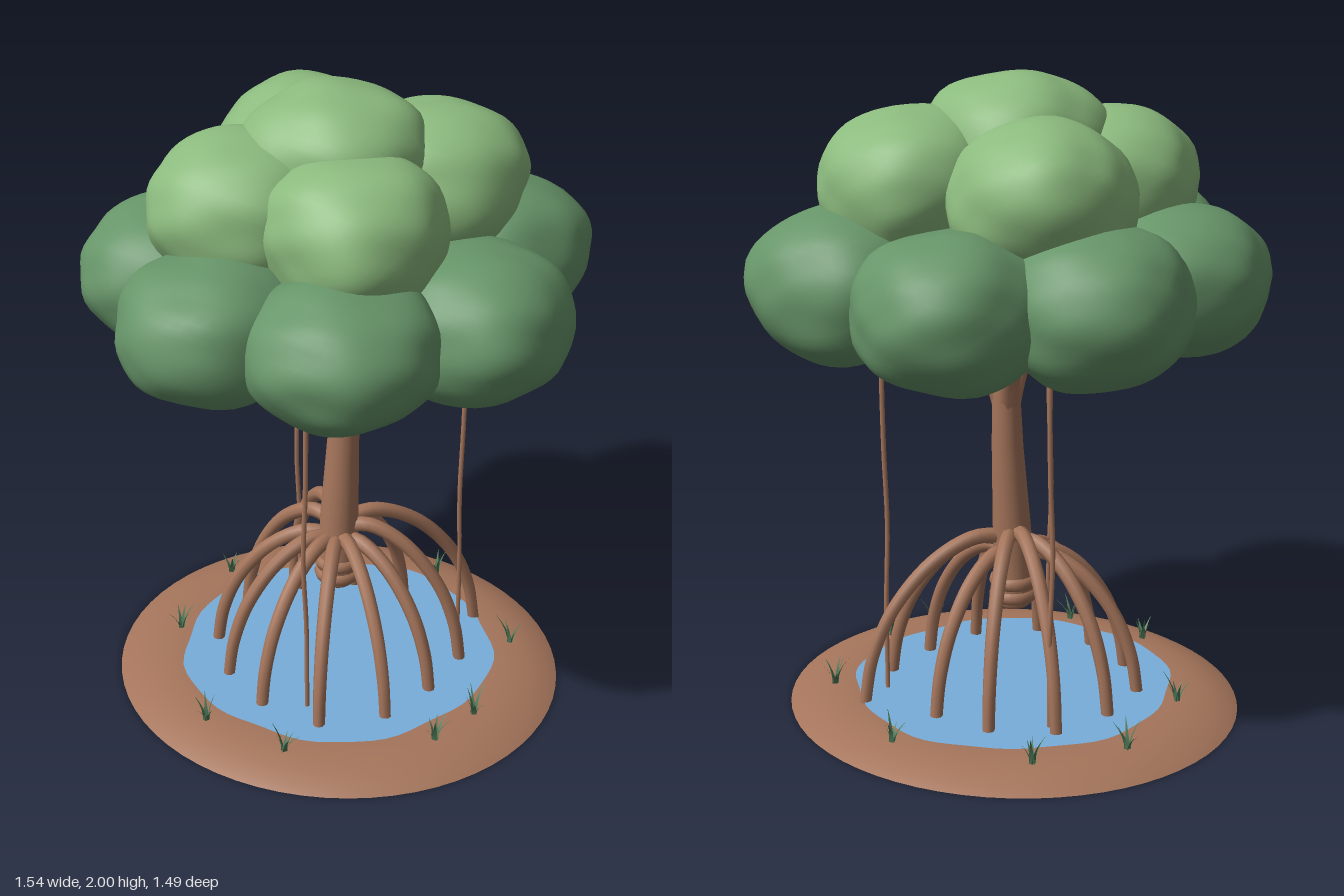
import * as THREE from 'three';
import { mergeVertices, mergeGeometries } from 'three/addons/utils/BufferGeometryUtils.js';

const paint = (name, color, side = THREE.FrontSide) => {
  const m = new THREE.MeshStandardMaterial({ color, side });
  m.name = name;
  return m;
};
const V = (x, y, z) => new THREE.Vector3(x, y, z);
const lathe = (points, sides) => new THREE.LatheGeometry(points.map(([r, y]) => new THREE.Vector2(r, y)), sides);

// Tapered tube along a smooth path
function limb(points, r0, r1, segments = 20, sides = 8) {
  const curve = new THREE.CatmullRomCurve3(points);
  const geo = new THREE.TubeGeometry(curve, segments, 1, sides);
  const pos = geo.attributes.position, p = V(0, 0, 0);
  for (let i = 0; i <= segments; i++) {
    const c = curve.getPointAt(i / segments);
    const r = r0 + (r1 - r0) * (i / segments);
    for (let j = 0; j <= sides; j++) {
      const k = i * (sides + 1) + j;
      p.fromBufferAttribute(pos, k).sub(c).multiplyScalar(r).add(c);
      pos.setXYZ(k, p.x, p.y, p.z);
    }
  }
  return geo;
}

// Lumpy leaf cloud: a sphere pushed in and out by a few waves
function leafBlob(rx, ry, rz, seed) {
  let geo = new THREE.IcosahedronGeometry(1, 9);
  geo.deleteAttribute('uv');
  geo.deleteAttribute('normal');
  geo = mergeVertices(geo);
  const pos = geo.attributes.position, p = V(0, 0, 0);
  for (let i = 0; i < pos.count; i++) {
    p.fromBufferAttribute(pos, i);
    const n = Math.sin(p.x * 3.1 + seed) * Math.sin(p.y * 2.7 + seed * 1.7) * Math.sin(p.z * 3.3 + seed * 2.3)
      + 0.35 * Math.sin(p.x * 5 + p.y * 4 + seed * 3) * Math.sin(p.z * 5 - p.y * 4 + seed)
      + 0.2 * Math.sin(p.x * 9 - p.z * 5 + seed) * Math.sin(p.y * 9 + p.z * 4 + seed * 2);
    const boxy = 1 / Math.pow(p.x ** 4 + p.y ** 4 + p.z ** 4, 0.04);
    p.multiplyScalar((0.975 + 0.05 * n) * boxy);
    pos.setXYZ(i, p.x * rx, p.y * ry, p.z * rz);
  }
  geo.computeVertexNormals();
  return geo;
}

export function createModel() {
  const bark = paint('bark brown', 0xa5755b, THREE.DoubleSide);
  const darkLeaf = paint('dark leaf green', 0x679569);
  const lightLeaf = paint('light leaf green', 0x8cbb7e);
  const blue = paint('water blue', 0x78aedb);
  const grassGreen = paint('grass green', 0x4f7a58, THREE.DoubleSide);

  const tree = new THREE.Group();
  tree.name = 'mangroveTree';
  const add = (name, geo, mat, x = 0, y = 0, z = 0) => {
    const mesh = new THREE.Mesh(geo, mat);
    mesh.name = name;
    mesh.position.set(x, y, z);
    tree.add(mesh);
    return mesh;
  };

  // Mud island with a flat underside
  const mudTop = [[0.692, 0], [0.665, 0.016], [0.62, 0.033], [0.57, 0.045], [0.5, 0.051], [0, 0.051]];
  add('mudIsland', lathe(mudTop, 64), bark).scale.z = 1.045;
  add('mudUnderside', new THREE.CircleGeometry(0.692, 64).rotateX(Math.PI / 2), bark).scale.z = 1.045;

  // Water pool with an uneven shore
  const shore = new THREE.Shape();
  for (let i = 0; i < 72; i++) {
    const a = (i / 72) * Math.PI * 2;
    const r = 0.5 + 0.008 * Math.sin(a * 5 + 1) + 0.005 * Math.sin(a * 11);
    shore[i ? 'lineTo' : 'moveTo'](Math.cos(a) * r, Math.sin(a) * r);
  }
  add('water', new THREE.ShapeGeometry(shore).rotateX(-Math.PI / 2), blue, 0, 0.055, 0);

  // Trunk, leaning slightly to +x as it rises
  const lean = (y) => 0.032 * THREE.MathUtils.smoothstep(y, 0.4, 1.0);
  const trunk = lathe([[0, 0.31], [0.045, 0.315], [0.066, 0.335], [0.066, 0.4], [0.06, 0.46], [0.061, 0.55],
    [0.055, 0.7], [0.049, 0.85], [0.044, 1.0], [0.042, 1.1], [0.03, 1.2], [0, 1.22]], 20);
  const tp = trunk.attributes.position;
  for (let i = 0; i < tp.count; i++) tp.setX(i, tp.getX(i) + lean(tp.getY(i)));
  trunk.computeVertexNormals();
  add('trunk', trunk, bark);
  [0.355, 0.4].forEach((y) =>
    add('trunkCollar', new THREE.TorusGeometry(0.05, 0.026, 10, 24).rotateX(Math.PI / 2), bark, 0, y, 0));

  // Branches forking into the crown
  for (let i = 0; i < 3; i++) {
    const a = (i / 3) * Math.PI * 2 + 1.13, c = Math.cos(a), s = Math.sin(a);
    add('branch', limb([V(0.03, 0.95, 0), V(0.03 + 0.04 * c, 1.07, 0.04 * s),
      V(0.03 + 0.1 * c, 1.19, 0.1 * s), V(0.03 + 0.22 * c, 1.38, 0.22 * s)], 0.036, 0.026, 12), bark);
  }

  // Arched stilt roots: top height, reach
  [[0.5, 0.37], [0.54, 0.4], [0.56, 0.49], [0.51, 0.36], [0.57, 0.38], [0.58, 0.41],
    [0.55, 0.39], [0.5, 0.4], [0.5, 0.38], [0.5, 0.39], [0.5, 0.42], [0.51, 0.4]].forEach(([top, reach], i) => {
    const a = (i / 12) * Math.PI * 2, s = Math.sin(a), c = Math.cos(a);
    const at = (f, y) => V(s * reach * f, y, c * reach * f);
    add('stiltRoot', limb([at(0.06, top - 0.01), at(0.26, top - 0.005), at(0.54, top * 0.87), at(0.8, top * 0.62),
      at(0.94, top * 0.35), at(1, 0.03)], 0.025, 0.019, 28), bark);
  });

  // Hanging vines
  [[-0.31, 0.12, -0.013], [0.185, -0.31, -0.012], [0.305, 0.26, -0.01]].forEach(([x, z, sway]) =>
    add('hangingVine', limb([V(x, 1.4, z), V(x + 0.004, 1.1, z), V(x, 0.85, z),
      V(x + sway, 0.6, z), V(x, 0.35, z), V(x, 0.04, z)], 0.008, 0.007, 24, 8), bark));

  // Lower ring of dark leaf clouds around a core: x, y, z, height radius
  [[0.045, 1.385, 0.47, 0.23], [0.445, 1.4, 0.25, 0.24], [0.475, 1.395, -0.19, 0.235], [0.17, 1.4, -0.465, 0.24],
    [-0.25, 1.395, -0.42, 0.23], [-0.475, 1.4, -0.08, 0.225], [-0.36, 1.4, 0.3, 0.22]].forEach(([x, y, z, h], i) =>
    add('lowerLeafCloud', leafBlob(0.295, h, 0.285, i * 1.9 + 0.5), darkLeaf, x, y, z));
  add('leafCore', leafBlob(0.3, 0.24, 0.3, 2.8), darkLeaf, 0, 1.44, 0);

  // Upper light leaf clouds
  [[-0.17, 1.66, 0.19], [0.27, 1.68, 0.16], [0.175, 1.68, -0.265], [-0.24, 1.66, -0.17]].forEach(([x, y, z], i) =>
    add('upperLeafCloud', leafBlob(0.275, 0.235, 0.275, i * 2.3 + 1.1), lightLeaf, x, y, z));
  add('topLeafCloud', leafBlob(0.275, 0.22, 0.285, 4.2), lightLeaf, 0, 1.784, -0.01);

  // Grass tufts around the shore
  const tufts = [[-0.55, -0.09], [-0.52, 0.2], [-0.19, 0.53], [-0.01, 0.55], [0.38, 0.42],
    [0.56, -0.01], [0.39, -0.42], [0.13, -0.57], [-0.23, -0.48]];
  tufts.forEach(([x, z], t) => {
    const blades = [];
    for (let i = 0; i < 6; i++) {
      const a = i * 2.4 + t, h = 0.055 + 0.04 * ((i * 3 + t) % 5) / 4, out = 0.024 + 0.02 * (i % 3) / 2;
      const blade = new THREE.PlaneGeometry(0.017, h, 1, 4).translate(0, h / 2, 0);
      const bp = blade.attributes.position;
      for (let k = 0; k < bp.count; k++) {
        const f = bp.getY(k) / h;
        bp.setX(k, bp.getX(k) * (1 - 0.95 * f));
        bp.setZ(k, 0.006 + out * f * f);
      }
      blade.computeVertexNormals();
      blades.push(blade.rotateY(a));
    }
    add('grassTuft', mergeGeometries(blades), grassGreen, x, 0.044, z);
  });

  return tree;
}
